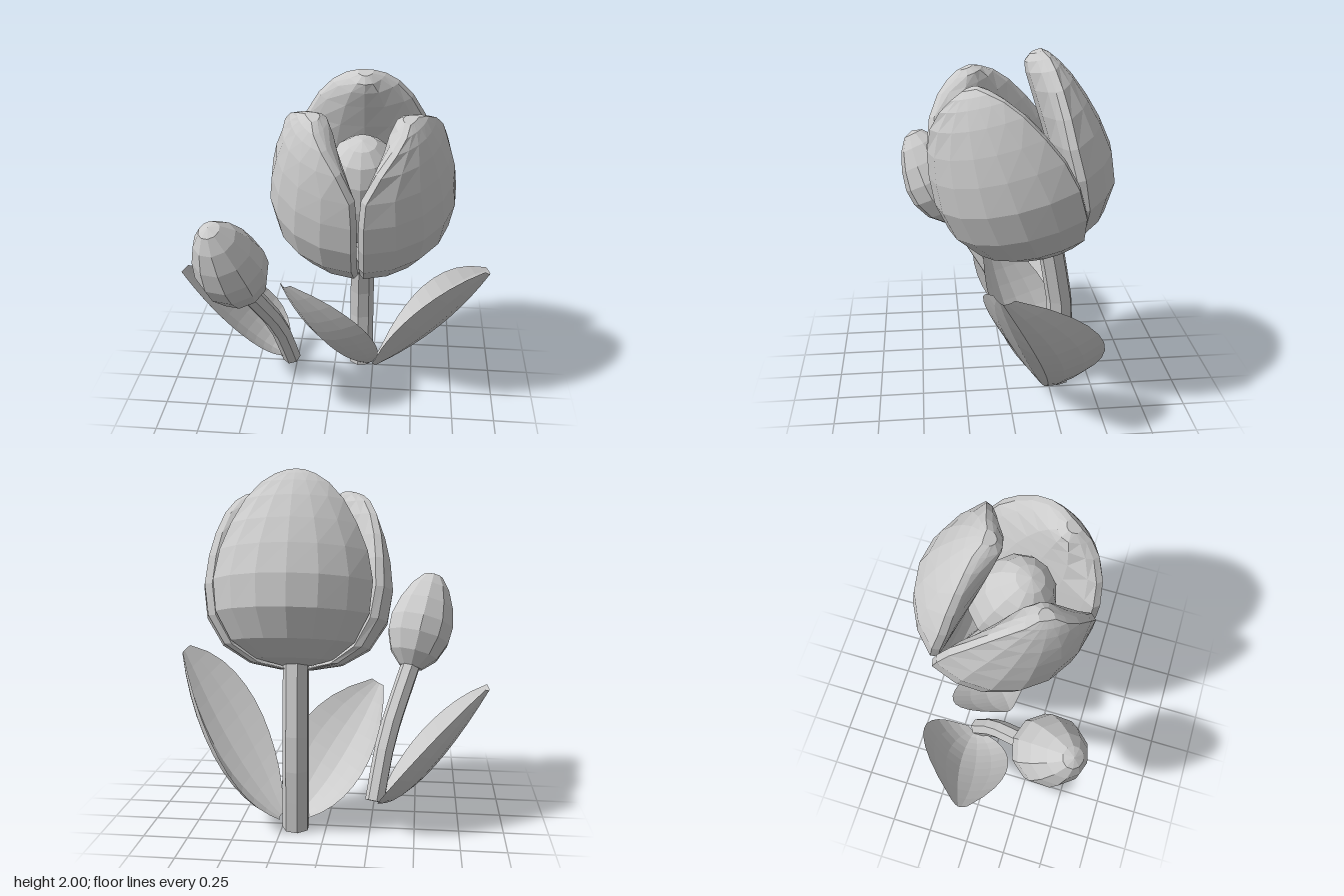
import * as THREE from 'three';

const grey = new THREE.MeshStandardMaterial({ color: 0xcccccc, flatShading: true, side: THREE.DoubleSide });
grey.name = 'plain grey';
const V = (x, y, z) => new THREE.Vector3(x, y, z);

function mesh(name, geometry, parent) {
  const m = new THREE.Mesh(geometry, grey);
  m.name = name;
  parent.add(m);
  return m;
}

function build(pos, idx) {
  const g = new THREE.BufferGeometry();
  g.setAttribute('position', new THREE.Float32BufferAttribute(pos, 3));
  g.setIndex(idx);
  g.computeVertexNormals();
  return g;
}

// Closed rings (counter-clockwise from above) joined into a capped skin
function loft(rings) {
  const n = rings[0].length, pos = [], idx = [];
  rings.forEach(r => r.forEach(p => pos.push(p.x, p.y, p.z)));
  for (let i = 0; i < rings.length - 1; i++) {
    for (let j = 0; j < n; j++) {
      const a = i * n + j, b = i * n + (j + 1) % n;
      idx.push(a, b, b + n, a, b + n, a + n);
    }
  }
  [0, rings.length - 1].forEach((row, end) => {
    const c = V(0, 0, 0);
    rings[row].forEach(p => c.addScaledVector(p, 1 / n));
    const ci = pos.length / 3;
    pos.push(c.x, c.y, c.z);
    for (let j = 0; j < n; j++) {
      const a = row * n + j, b = row * n + (j + 1) % n;
      if (end) idx.push(a, b, ci); else idx.push(b, a, ci);
    }
  });
  return build(pos, idx);
}

// Plump solid petal facing +x: [height, outer radius, inner radius, wide angle, slim angle]
const petalRows = [
  [0, 0.10, 0.02, 58, 58], [0.03, 0.26, 0.10, 59, 58], [0.12, 0.41, 0.16, 59.5, 58],
  [0.27, 0.505, 0.20, 59.5, 58], [0.44, 0.53, 0.20, 59.5, 57], [0.60, 0.51, 0.20, 59.5, 54],
  [0.74, 0.475, 0.20, 58, 48], [0.87, 0.43, 0.20, 47, 40], [0.96, 0.385, 0.20, 32, 30],
  [1.01, 0.35, 0.21, 19, 19], [1.04, 0.315, 0.25, 8, 8],
];

// Each flank of a petal uses its own angle column (3 = wide, 4 = slim)
function petalGeometry(lowFlank, highFlank) {
  return loft(petalRows.map(row => {
    const [y, R, inner] = row, edge = R - 0.035, ring = [];
    const angle = k => k * THREE.MathUtils.degToRad(row[k < 0 ? lowFlank : highFlank]);
    const add = (k, r) => ring.push(V(r * Math.cos(angle(k)), y, -r * Math.sin(angle(k))));
    add(-1, edge);
    for (let k = -3; k <= 3; k++) add(k * 0.315, R);
    add(1, edge);
    for (let k = 2; k >= -2; k--) {
      const s = k * 0.42, end = Math.abs(angle(Math.sign(s)));
      const x = inner + (edge * Math.cos(end) - inner) * Math.pow(Math.abs(s), 2.4);
      ring.push(V(x, y, -edge * Math.sin(end) * s));
    }
    return ring;
  }));
}

// Faceted stem along a curve
function stemGeometry(points, r0, r1, sides = 7) {
  const curve = new THREE.CatmullRomCurve3(points), rings = [];
  for (let i = 0; i <= 5; i++) {
    const t = i / 5, c = curve.getPoint(t), dir = curve.getTangent(t);
    const side = V(1, 0, 0).addScaledVector(dir, -dir.x).normalize();
    const other = dir.clone().cross(side);
    const r = r0 + (r1 - r0) * t, ring = [];
    for (let j = 0; j < sides; j++) {
      const a = j / sides * Math.PI * 2;
      ring.push(c.clone().addScaledVector(side, r * Math.cos(a)).addScaledVector(other, r * Math.sin(a)));
    }
    rings.push(ring);
  }
  return loft(rings);
}

// Broad blade: keel through three points, half-width vector, edges cupped upward
function leafGeometry(base, mid, tip, half, cup) {
  const control = mid.clone().multiplyScalar(2).addScaledVector(base, -0.5).addScaledVector(tip, -0.5);
  const keel = new THREE.QuadraticBezierCurve3(base, control, tip);
  const up = half.clone().cross(tip.clone().sub(base)).normalize();
  if (up.y < 0) up.negate();
  const rows = 11, cols = 6, pos = [], idx = [];
  for (let i = 0; i <= rows; i++) {
    const t = i / rows, c = keel.getPoint(t);
    const w = Math.max(0.17, Math.pow(Math.abs(Math.sin(Math.PI * Math.pow(t, 1.12))), 0.6));
    for (let j = 0; j <= cols; j++) {
      const s = j / cols * 2 - 1;
      const p = c.clone().addScaledVector(half, s * w).addScaledVector(up, cup * w * Math.pow(Math.abs(s), 1.6));
      pos.push(p.x, p.y, p.z);
      if (i < rows && j < cols) {
        const a = i * (cols + 1) + j, d = a + cols + 1;
        idx.push(a, a + 1, d + 1, a, d + 1, d);
      }
    }
  }
  return build(pos, idx);
}

const lathe = (profile, sides) =>
  new THREE.LatheGeometry(profile.map(([r, y]) => new THREE.Vector2(r, y)), sides);

export function createModel() {
  const model = new THREE.Group();
  model.name = 'flower';

  // Open bloom, nodding forward; the front petals are slimmer on their rear flank
  const bloom = new THREE.Group();
  bloom.name = 'bloom';
  bloom.position.set(0.17, 0.91, -0.24);
  bloom.rotation.x = THREE.MathUtils.degToRad(17);
  model.add(bloom);
  [['leftPetal', -30, 0, 3, 4], ['rightPetal', -150, 0, 4, 3], ['backPetal', 90, 0.05, 4, 4]]
    .forEach(([name, deg, shift, low, high]) => {
      const m = mesh(name, petalGeometry(low, high), bloom);
      m.rotation.y = THREE.MathUtils.degToRad(deg);
      m.position.set(0, shift * 0.4, shift);
    });
  const core = mesh('bloomCore', lathe([[0, 0.1], [0.15, 0.2], [0.22, 0.35], [0.225, 0.5], [0.2, 0.65],
    [0.15, 0.75], [0.08, 0.81], [0, 0.83]], 12), bloom);
  core.position.z = 0.06;

  // Closed bud, leaning forward and outward
  const bud = mesh('bud', lathe([[0, 0], [0.07, 0.01], [0.15, 0.09], [0.195, 0.2], [0.2, 0.3],
    [0.17, 0.42], [0.12, 0.53], [0.06, 0.605], [0, 0.625]], 10), model);
  const budBase = V(-0.455, 0.81, 0.26);
  bud.position.copy(budBase);
  bud.quaternion.setFromUnitVectors(V(0, 1, 0), V(-0.59, 1.37, 0.52).sub(budBase).normalize());

  // Stems
  mesh('mainStem', stemGeometry([V(0.17, 0, -0.3), V(0.165, 0.45, -0.32), V(0.17, 0.95, -0.24)], 0.078, 0.075), model);
  mesh('budStem', stemGeometry([V(-0.27, 0.11, -0.14), V(-0.33, 0.45, 0.01), V(-0.46, 0.84, 0.26)], 0.058, 0.06), model);

  // Leaves
  mesh('largeLeaf', leafGeometry(V(0.28, 0.02, -0.22), V(0.65, 0.38, -0.15), V(0.91, 0.92, 0.09),
    V(-0.04, 0.08, 0.31), 0.21), model);
  mesh('frontLeaf', leafGeometry(V(0.2, 0.02, -0.23), V(-0.04, 0.29, -0.05), V(-0.28, 0.76, 0.08),
    V(0.21, 0.06, 0.2), 0.14), model);
  mesh('smallLeaf', leafGeometry(V(-0.31, 0.11, -0.16), V(-0.58, 0.31, -0.16), V(-0.91, 0.77, -0.04),
    V(0.04, -0.02, -0.29), 0.15), model);

  return model;
}
